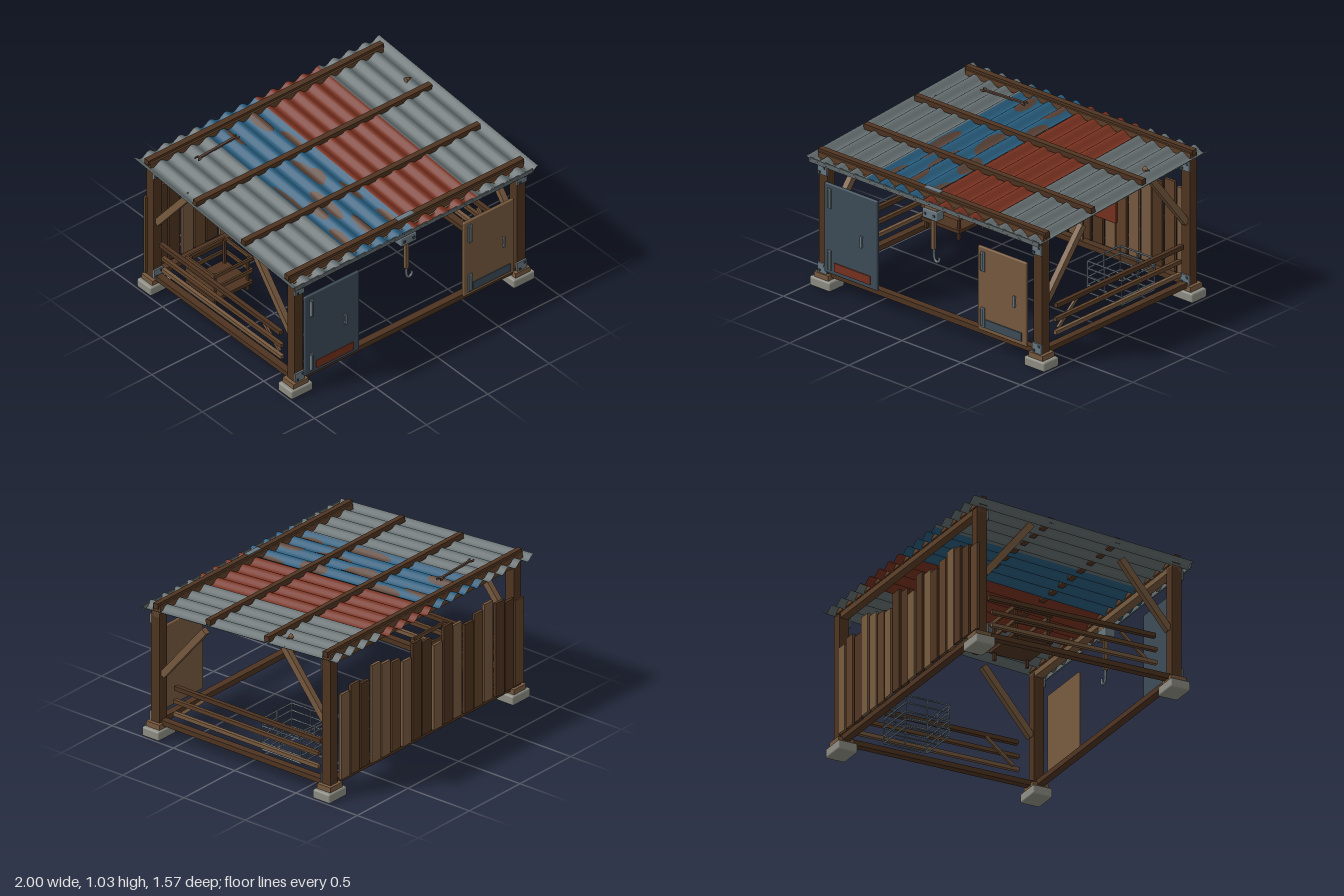
import * as THREE from 'three';
import { RoundedBoxGeometry } from 'three/addons/geometries/RoundedBoxGeometry.js';

const mat = (name, color, double) => {
  const m = new THREE.MeshStandardMaterial({ color });
  m.name = name;
  if (double) m.side = THREE.DoubleSide;
  return m;
};

export function createModel() {
  const M = {
    dark: mat('darkWood', 0x4f3421),
    mid: mat('brownWood', 0x5f4129),
    tan: mat('tanWood', 0x775a3f),
    sheet: mat('greySheet', 0x646d6f, true),
    blue: mat('blueSheet', 0x275a7a, true),
    red: mat('redPaint', 0x76301f, true),
    rust: mat('rust', 0x594236, true),
    slate: mat('slatePaint', 0x3d4c58),
    stone: mat('stone', 0x8e8e85),
    metal: mat('metal', 0x697880),
  };
  const model = new THREE.Group();
  model.name = 'shelter';

  const add = (parent, name, geo, m) => {
    const mesh = new THREE.Mesh(geo, m);
    mesh.name = name;
    parent.add(mesh);
    return mesh;
  };
  // Box given by its limits on each axis
  const box = (name, m, x0, x1, y0, y1, z0, z1, parent = model, round = 0) => {
    const s = [x1 - x0, y1 - y0, z1 - z0];
    const geo = round ? new RoundedBoxGeometry(...s, 2, round) : new THREE.BoxGeometry(...s);
    const mesh = add(parent, name, geo, m);
    mesh.position.set((x0 + x1) / 2, (y0 + y1) / 2, (z0 + z1) / 2);
    return mesh;
  };
  // Sloping timber in a side plane, from (z0, y0) to (z1, y1)
  const brace = (name, m, x, z0, y0, z1, y1, w, t) => {
    const mesh = add(model, name, new THREE.BoxGeometry(t, w, Math.hypot(z1 - z0, y1 - y0)), m);
    mesh.position.set(x, (y0 + y1) / 2, (z0 + z1) / 2);
    mesh.rotation.x = -Math.atan2(y1 - y0, z1 - z0);
  };
  const rod = (name, m, a, b, r, parent = model) => {
    const path = new THREE.LineCurve3(new THREE.Vector3(...a), new THREE.Vector3(...b));
    return add(parent, name, new THREE.TubeGeometry(path, 1, r, 6), m);
  };

  // Footings, posts, brackets, braces and side rails
  for (const s of [-1, 1]) {
    const x = s * 0.905;
    for (const f of [-1, 1]) {
      const z = f * 0.697, top = f > 0 ? 0.865 : 0.965;
      box('footing', M.stone, x - 0.087, x + 0.087, 0, 0.065, z - 0.07, z + 0.07, model, 0.012);
      box('footingBlock', M.tan, x - 0.06, x + 0.06, 0.065, 0.1, z - 0.055, z + 0.055);
      box('post', M.dark, x - 0.035, x + 0.035, 0.1, top, z - 0.035, z + 0.035);
      // Angle plates with bolts on the post's front face
      const zf = z + 0.035;
      for (const y of [0.135, f > 0 ? 0.815 : 0.92]) {
        box('bracket', M.metal, x - 0.037, x + 0.037, y - 0.033, y + 0.033, zf, zf + 0.012);
        for (const d of [-1, 1])
          box('bolt', M.slate, x + d * 0.02 - 0.007, x + d * 0.02 + 0.007,
            y + d * 0.017 - 0.007, y + d * 0.017 + 0.007, zf + 0.01, zf + 0.018);
      }
    }
    brace('frontBrace', M.tan, x, 0.66, 0.43, 0.315, 0.845, 0.045, 0.04);
    brace('rearBrace', M.tan, x, -0.66, 0.53, -0.33, 0.94, 0.045, 0.04);
    box('sideSill', M.dark, x - 0.025, x + 0.025, 0.084, 0.119, -0.66, 0.66);
    box('topRail', M.dark, x - 0.015, x + 0.015, 0.355, 0.385, -0.63, 0.56);
    box('middleRail', M.mid, x - 0.013, x + 0.013, 0.262, 0.288, -0.61, 0.57);
    box('lowerRail', M.tan, x - 0.013, x + 0.013, 0.172, 0.198, -0.61, 0.57);
    brace('railBrace', M.tan, x - s * 0.02, 0.52, 0.195, 0.325, 0.355, 0.022, 0.015);
  }

  // Sills and headers
  for (const z of [-0.697, 0.697]) box('sill', M.dark, -0.87, 0.87, 0.082, 0.119, z - 0.025, z + 0.025);
  box('frontHeader', M.tan, -0.94, 0.94, 0.84, 0.877, 0.665, 0.725);
  box('rearHeader', M.mid, -0.94, 0.94, 0.935, 0.972, -0.725, -0.67);

  // Rear wall of uneven boards
  const tops = [0.71, 0.74, 0.77, 0.8, 0.77, 0.74, 0.77, 0.8, 0.71, 0.77, 0.8, 0.71, 0.74, 0.77, 0.8, 0.71, 0.74, 0.71];
  const tanBoards = [3, 6, 8, 11, 13, 14, 17];
  tops.forEach((top, i) => {
    const x = -0.92 + i * 0.1015 + 0.0075;
    const m = tanBoards.includes(i) ? M.tan : i % 4 === 0 ? M.mid : M.dark;
    const out = (i % 3) * 0.004;
    box('wallBoard', m, x - 0.042, x + 0.042, 0.115, top, -0.742 - out, -0.722 - out);
  });
  box('redPanel', M.red, -0.125, 0.28, 0.31, 0.58, -0.721, -0.7, model, 0.006);
  box('wallBatten', M.tan, -0.02, 0.01, 0.119, 0.75, -0.699, -0.688);

  // Front doors with hinges, handle and painted plate
  const door = (name, m, plate, x0, x1, y1, hinge, handle, hy) => {
    const g = new THREE.Group();
    g.name = name;
    model.add(g);
    box('doorPanel', m, x0, x1, 0.125, y1, 0.733, 0.757, g, 0.008);
    for (const y of [0.155, y1 - 0.165]) {
      box('hinge', M.metal, hinge - 0.014, hinge + 0.014, y, y + 0.135, 0.755, 0.766, g);
      rod('hingePin', M.metal, [hinge - 0.006, y + 0.01, 0.767], [hinge - 0.006, y + 0.125, 0.767], 0.008, g);
    }
    box('handle', M.metal, handle - 0.007, handle + 0.007, hy, hy + 0.08, 0.764, 0.774, g);
    for (const y of [hy + 0.005, hy + 0.063]) box('handleMount', M.metal, handle - 0.006, handle + 0.006, y, y + 0.012, 0.755, 0.766, g);
    const c = (x0 + x1) / 2 + 0.018;
    box('doorPlate', plate, c - 0.152, c + 0.152, 0.155, 0.213, 0.756, 0.764, g);
  };
  door('leftmostDoor', M.slate, M.red, -0.875, -0.43, 0.745, -0.825, -0.552, 0.392);
  door('tanDoor', M.tan, M.slate, 0.42, 0.83, 0.705, 0.468, 0.738, 0.375);

  // Hanging hook below the front header
  box('hookBlock', M.tan, -0.06, 0.045, 0.74, 0.84, 0.67, 0.72);
  box('hookBracket', M.metal, -0.07, 0.055, 0.742, 0.807, 0.665, 0.732, model, 0.006);
  for (const x of [-0.045, 0.03]) box('bolt', M.slate, x - 0.008, x + 0.008, 0.767, 0.783, 0.73, 0.738);
  box('hookStrap', M.tan, -0.015, 0.01, 0.53, 0.745, 0.685, 0.71);
  const hookPath = new THREE.CatmullRomCurve3(
    [[0, 0.55], [0, 0.48], [0.008, 0.455], [0.025, 0.448], [0.042, 0.46], [0.046, 0.49]]
      .map(([x, y]) => new THREE.Vector3(x, y, 0.697)));
  add(model, 'hook', new THREE.TubeGeometry(hookPath, 20, 0.009, 8), M.metal);

  // Wire cage on the right
  const cage = new THREE.Group();
  cage.name = 'wireCage';
  model.add(cage);
  const cx = [0.57, 0.86], cz = [-0.42, -0.11];
  for (const y of [0.13, 0.18, 0.235, 0.295, 0.345]) {
    for (const z of cz) rod('wire', M.metal, [cx[0], y, z], [cx[1], y, z], 0.006, cage);
    for (const x of cx) rod('wire', M.metal, [x, y, cz[0]], [x, y, cz[1]], 0.006, cage);
  }
  for (const t of [0, 0.5, 1]) {
    const x = cx[0] + t * 0.29, z = cz[0] + t * 0.31;
    for (const zz of cz) rod('wire', M.metal, [x, 0.125, zz], [x, 0.35, zz], 0.006, cage);
    for (const xx of cx) rod('wire', M.metal, [xx, 0.125, z], [xx, 0.35, z], 0.006, cage);
    rod('floorWire', M.metal, [x, 0.13, cz[0]], [x, 0.13, cz[1]], 0.005, cage);
  }

  // Slatted crate on the left
  const crate = new THREE.Group();
  crate.name = 'crate';
  model.add(crate);
  box('crateFloor', M.dark, -0.87, -0.55, 0.173, 0.197, -0.43, -0.15, crate);
  for (const y of [0.262, 0.357]) {
    for (const z of [-0.43, -0.162]) box('crateSlat', M.mid, -0.87, -0.55, y, y + 0.027, z, z + 0.012, crate);
    for (const x of [-0.87, -0.562]) box('crateSlat', M.mid, x, x + 0.012, y, y + 0.027, -0.43, -0.15, crate);
  }
  for (const x of [-0.855, -0.58]) for (const z of [-0.415, -0.183])
    box('crateStile', M.dark, x, x + 0.018, 0.12, 0.375, z, z + 0.018, crate);

  // Sloping roof of corrugated sheets
  const roof = new THREE.Group();
  roof.name = 'roof';
  roof.position.y = 0.937;
  roof.rotation.x = 0.0696;
  model.add(roof);
  const wave = (x) => 0.017 * Math.cos((x / 0.125) * Math.PI * 2);
  // Plate that follows the corrugation; oval plates narrow to their ends
  const corrugated = (name, m, x0, x1, zc, len, lift, oval) => {
    const w = x1 - x0, geo = new THREE.PlaneGeometry(w, len, Math.max(10, Math.round(w / 0.0104)), 1);
    geo.rotateX(-Math.PI / 2);
    const p = geo.attributes.position;
    for (let i = 0; i < p.count; i++) {
      const u = (2 * p.getX(i)) / w, x = p.getX(i) + (x0 + x1) / 2;
      const k = oval ? Math.sqrt(Math.max(0, 1 - u * u)) : 1;
      p.setXYZ(i, x, wave(x) + lift, p.getZ(i) * k + zc);
    }
    geo.computeVertexNormals();
    return add(roof, name, geo, m);
  };
  const sheets = [[-1, -0.48, M.sheet], [-0.49, -0.015, M.blue], [-0.02, 0.505, M.red], [0.5, 1, M.sheet]];
  sheets.forEach(([a, b, m], i) => corrugated('roofSheet', m, a, b, 0, 1.576, (i % 2) * 0.004));

  // Rust patches on the blue sheet: x, z, half width, half length
  [[-0.355, -0.56, 0.03, 0.1], [-0.13, -0.6, 0.035, 0.14], [-0.455, 0.1, 0.028, 0.17], [-0.2, -0.08, 0.04, 0.12],
    [-0.3, 0.27, 0.035, 0.16], [-0.09, 0.26, 0.04, 0.11], [-0.39, 0.3, 0.028, 0.1], [-0.25, 0.58, 0.03, 0.12],
    [-0.07, -0.33, 0.035, 0.13], [-0.43, 0.56, 0.03, 0.1], [-0.18, 0.02, 0.05, 0.08], [-0.06, 0.6, 0.028, 0.12],
  ].forEach(([x, z, rx, rz]) => corrugated('rustPatch', M.rust, x - rx, x + rx, z, rz * 2, 0.008, true));

  // Purlins laid across the sheets, doubled at the ends
  for (const z of [-0.7, -0.22, 0.258, 0.687]) {
    const end = Math.abs(z) > 0.5;
    const lift = end ? 0.008 : 0;
    if (end) box('purlinBase', M.mid, -0.96, 0.94, -0.01, 0.026, z - 0.03, z + 0.03, roof);
    box('purlin', M.dark, -0.97, 0.95, lift, lift + 0.038, z - 0.019, z + 0.019, roof);
  }
  box('purlinPlate', M.metal, -0.075, 0.055, 0.045, 0.05, 0.668, 0.706, roof);
  box('eaveTrim', M.sheet, -0.98, 0.96, -0.02, 0.012, 0.778, 0.787, roof);

  // Old wrench and a wood chip left on the roof
  const wrench = new THREE.Group();
  wrench.name = 'wrench';
  wrench.position.set(-0.52, 0.027, -0.545);
  wrench.rotation.y = 0.06;
  roof.add(wrench);
  box('wrenchShaft', M.rust, -0.16, 0.15, -0.006, 0.006, -0.008, 0.008, wrench);
  for (const x of [-0.165, 0.165]) {
    const jaw = add(wrench, 'wrenchJaw', new THREE.TorusGeometry(0.016, 0.007, 6, 10, 4.7), M.rust);
    jaw.position.x = x;
    jaw.rotation.set(Math.PI / 2, 0, x < 0 ? 0.8 + Math.PI : 0.8);
  }
  const chip = add(roof, 'woodChip', new THREE.ConeGeometry(0.02, 0.05, 6), M.tan);
  chip.position.set(0.872, 0.03, -0.34);
  chip.rotation.z = -Math.PI / 2;
  return model;
}
